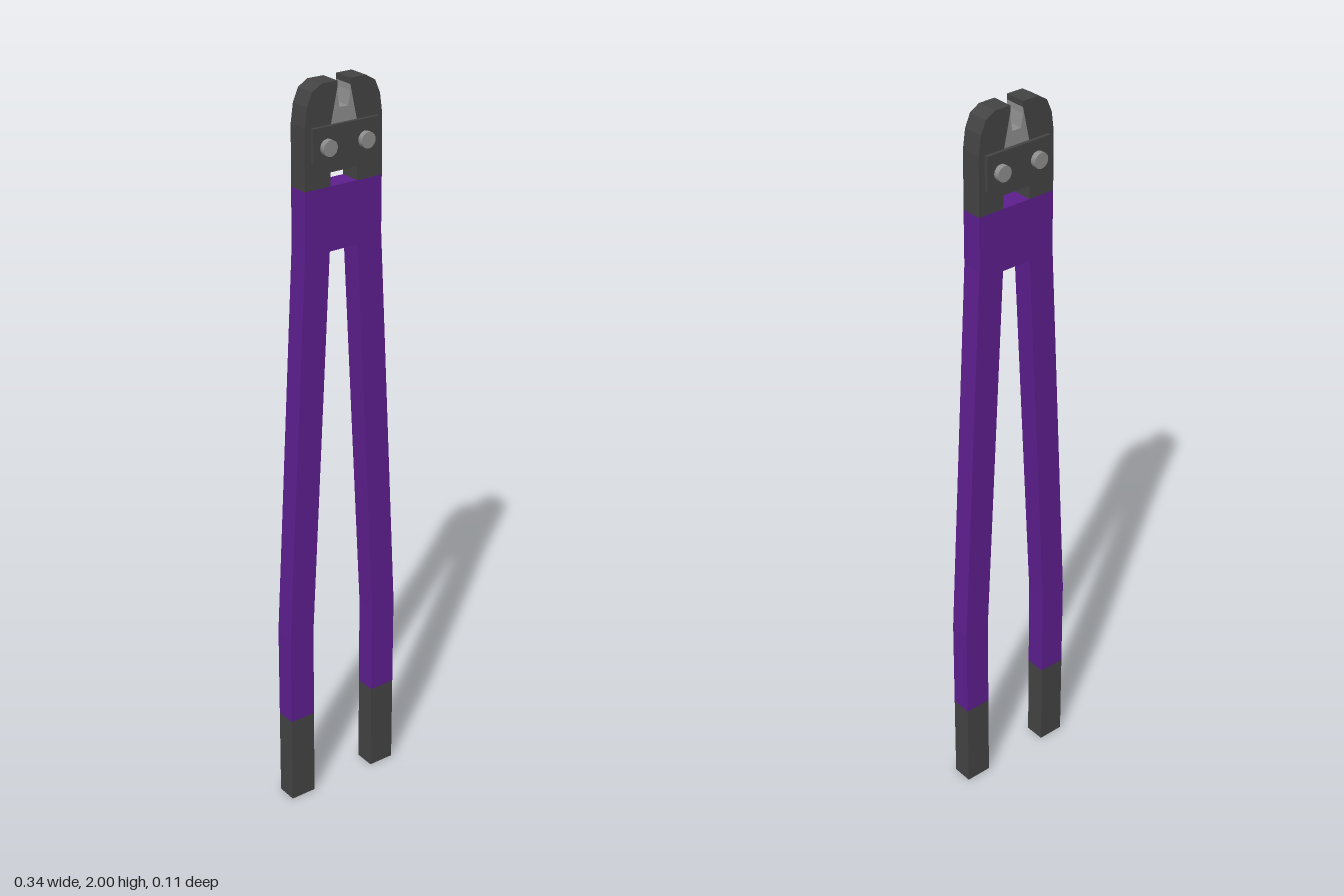
import * as THREE from 'three';

const HALF = 0.0285; // half thickness of the tool

const material = (color) => new THREE.MeshStandardMaterial({ color, flatShading: true });

function slab(name, points, mat, half = HALF) {
  const shape = new THREE.Shape(points.map(([x, y]) => new THREE.Vector2(x, y)));
  const geo = new THREE.ExtrudeGeometry(shape, { depth: half * 2, bevelEnabled: false });
  geo.translate(0, 0, -half);
  const mesh = new THREE.Mesh(geo, mat);
  mesh.name = name;
  return mesh;
}

// Closes a right-hand outline with its mirror image across x = 0
const mirrored = (pts) => [...pts, ...pts.map(([x, y]) => [-x, y]).reverse()];

export function createModel() {
  const group = new THREE.Group();
  group.name = 'boltCutter';
  const dark = material(0x434343);
  const purple = material(0x5d1e8e);
  const steel = material(0x8c8c8c);

  // Both handles joined by the crosspiece
  group.add(slab('handles', mirrored([
    [0.042, 1.58], [0.098, 0.52], [0.098, 0.255], [0.172, 0.255],
    [0.172, 0.52], [0.115, 1.6], [0.115, 1.745],
  ]), purple));

  // Jaws: one head with a lower slot and a tapered opening for the blades
  group.add(slab('head', mirrored([
    [0.04, 1.78], [0.04, 1.745], [0.115, 1.745], [0.114, 1.9],
    [0.107, 1.95], [0.092, 1.984], [0.065, 2], [0.019, 2],
    [0.019, 1.985], [0.042, 1.88],
  ]), dark));

  // Cutting blades around the narrow notch
  group.add(slab('blades', mirrored([
    [0.042, 1.88], [0.019, 1.985], [0.019, 1.97], [0.013, 1.935],
  ]), steel));

  for (const side of [1, -1]) {
    // Grips at the handle ends
    const grip = new THREE.Mesh(new THREE.BoxGeometry(0.074, 0.255, HALF * 2), dark);
    grip.name = side > 0 ? 'leftGrip' : 'rightGrip';
    grip.position.set(side * 0.135, 0.1275, 0);
    group.add(grip);

    // Cover plate with its two bolts, on the front and on the back
    const cover = new THREE.Group();
    cover.name = side > 0 ? 'frontCover' : 'backCover';
    const plate = new THREE.Mesh(new THREE.BoxGeometry(0.193, 0.088, 0.0115), dark);
    plate.name = 'plate';
    plate.position.set(0, 1.854, 0.0325);
    cover.add(plate);
    for (const x of [-0.056, 0.056]) {
      const bolt = new THREE.Mesh(new THREE.CylinderGeometry(0.0205, 0.0205, 0.017, 20).rotateX(Math.PI / 2), steel);
      bolt.name = 'bolt';
      bolt.position.set(x, 1.848, 0.0445);
      cover.add(bolt);
    }
    if (side < 0) cover.rotation.y = Math.PI;
    group.add(cover);
  }
  return group;
}
